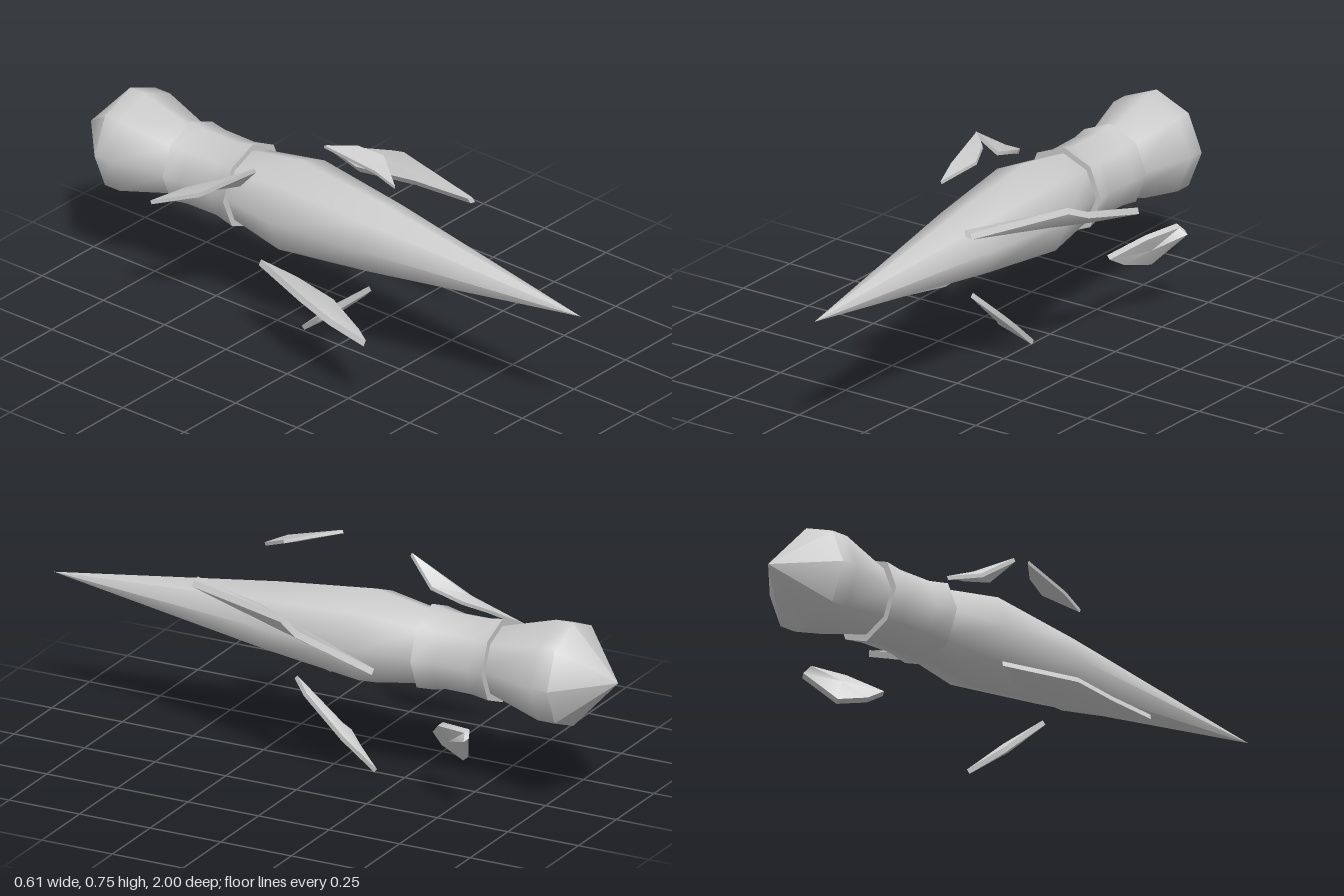
import * as THREE from 'three';
import { toCreasedNormals } from 'three/addons/utils/BufferGeometryUtils.js';

const stone = new THREE.MeshStandardMaterial({ color: 0xcccccc });
stone.name = 'paleGrey';

// Eight-sided turned part along z; profile is [radius, z] from back to front
function turned(name, profile) {
  const lathe = new THREE.LatheGeometry(profile.map(([r, z]) => new THREE.Vector2(r, z)), 8);
  lathe.rotateX(Math.PI / 2);
  const mesh = new THREE.Mesh(toCreasedNormals(lathe, 0.88), stone);
  mesh.name = name;
  mesh.position.set(-0.013, 0.457, 0);
  return mesh;
}

// Thin splinter: an outline given thickness, swelling slightly in the middle
function shard(name, outline, thickness) {
  const pts = outline.map((p) => new THREE.Vector3(...p));
  const count = pts.length;
  const centre = new THREE.Vector3();
  pts.forEach((p) => centre.addScaledVector(p, 1 / count));
  const normal = new THREE.Vector3();
  pts.forEach((p, i) => {
    const a = p.clone().sub(centre);
    const b = pts[(i + 1) % count].clone().sub(centre);
    normal.add(a.cross(b));
  });
  normal.normalize();
  const at = (p, d) => p.clone().addScaledVector(normal, d * thickness);
  const verts = [
    ...pts.map((p) => at(p, 0.4)),
    ...pts.map((p) => at(p, -0.4)),
    at(centre, 0.8),
    at(centre, -0.8),
  ];
  const index = [];
  for (let i = 0; i < count; i++) {
    const j = (i + 1) % count;
    index.push(2 * count, i, j, 2 * count + 1, count + j, count + i);
    index.push(count + i, count + j, j, count + i, j, i);
  }
  const geo = new THREE.BufferGeometry().setFromPoints(verts);
  geo.setIndex(index);
  const mesh = new THREE.Mesh(toCreasedNormals(geo, 0.8), stone);
  mesh.name = name;
  return mesh;
}

export function createModel() {
  const group = new THREE.Group();
  group.name = 'spikeWithShards';

  // Central spike, collar and pommel
  group.add(
    turned('spike', [[0, -0.36], [0.12, -0.36], [0.158, -0.14], [0.118, 0.2], [0, 1]]),
    turned('collar', [[0.1, -0.59], [0.14, -0.59], [0.131, -0.53], [0.13, -0.41], [0.144, -0.34], [0.1, -0.34]]),
    turned('pommel', [[0, -1], [0.173, -0.84], [0.173, -0.78], [0.116, -0.59], [0.11, -0.57], [0, -0.57]]),
  );

  // Floating shards around the spike
  group.add(
    shard('topShard', [
      [-0.09, 0.75, 0.016], [-0.016, 0.745, 0.09], [0.016, 0.724, 0.17],
      [-0.048, 0.675, 0.27], [-0.06, 0.71, 0.196],
    ], 0.014),
    shard('upperRightShard', [
      [-0.22, 0.66, -0.155], [-0.195, 0.57, -0.24], [-0.197, 0.54, -0.35],
      [-0.24, 0.51, -0.42], [-0.305, 0.458, -0.51], [-0.275, 0.53, -0.34],
    ], 0.016),
    shard('upperLeftShard', [
      [0.145, 0.597, 0.41], [0.168, 0.592, 0.41], [0.275, 0.58, 0.04], [0.303, 0.55, -0.03],
      [0.303, 0.475, -0.3], [0.235, 0.488, -0.12], [0.18, 0.56, 0.16],
    ], 0.026),
    shard('lowerLeftShard', [
      [0.105, 0.232, -0.415], [0.203, 0.3, -0.485], [0.24, 0.31, -0.6],
      [0.265, 0.29, -0.61], [0.165, 0.183, -0.555], [0.13, 0.205, -0.46],
    ], 0.026),
    shard('bottomShard', [
      [-0.019, 0.262, 0.145], [0.003, 0.218, 0.1], [0.017, 0.1, -0.04], [0.005, 0.01, -0.15],
      [-0.02, 0.068, -0.08], [-0.042, 0.106, -0.035], [-0.031, 0.128, -0.01],
    ], 0.02),
    shard('lowerRightShard', [
      [-0.29, 0.25, 0.35], [-0.28, 0.27, 0.2], [-0.265, 0.3, 0.07], [-0.18, 0.312, -0.17],
      [-0.138, 0.272, -0.06], [-0.15, 0.252, 0.1], [-0.24, 0.246, 0.28],
    ], 0.026),
  );
  return group;
}
